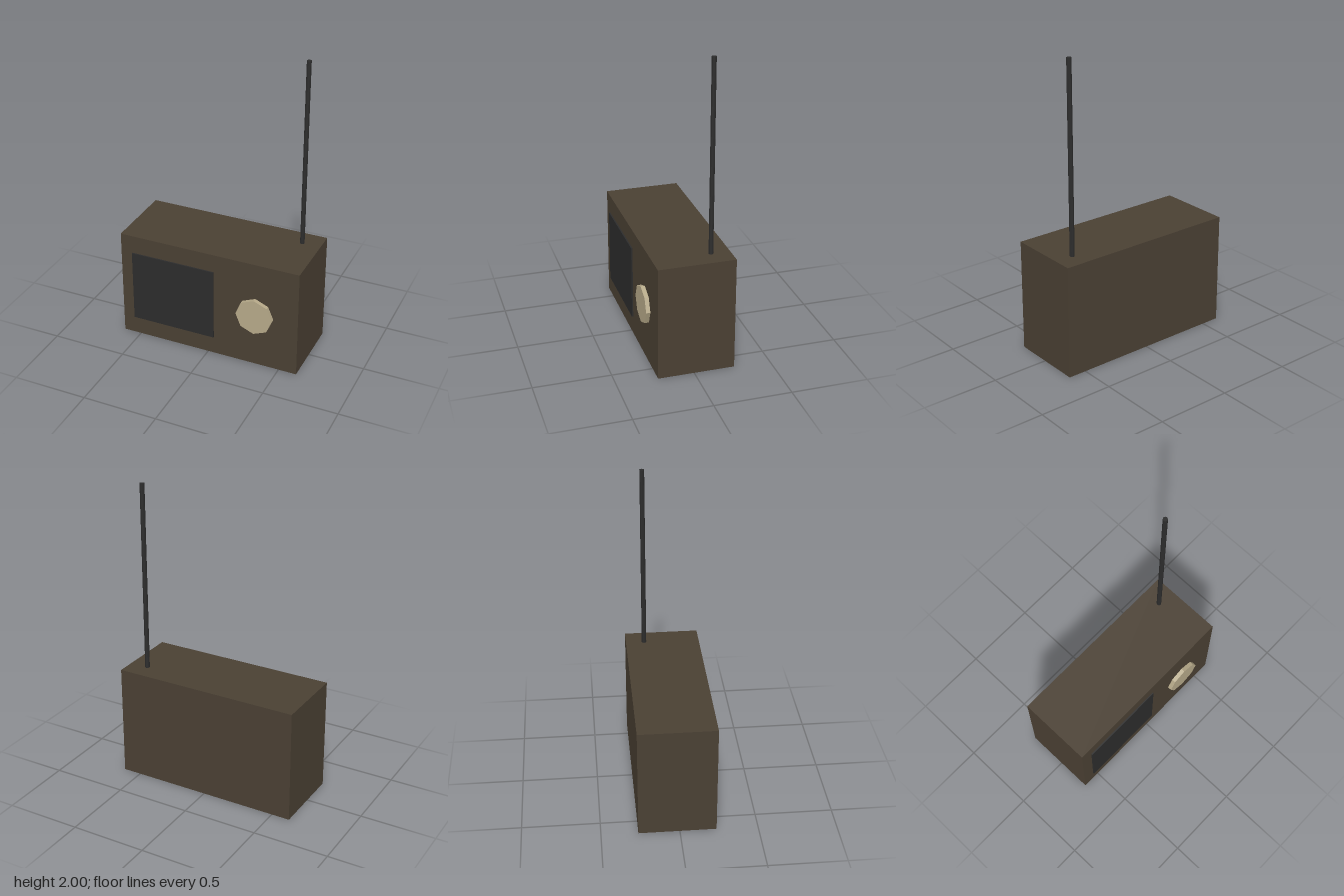
import * as THREE from 'three';

export function createModel() {
  const radio = new THREE.Group();
  radio.name = 'radio';

  const material = (name, color) => {
    const m = new THREE.MeshStandardMaterial({ color, flatShading: true });
    m.name = name;
    return m;
  };
  const casing = material('brown casing', 0x4a4033);
  const charcoal = material('charcoal', 0x2c2c2c);
  const cream = material('cream', 0xb5a888);

  const add = (name, geometry, mat, x, y, z) => {
    const mesh = new THREE.Mesh(geometry, mat);
    mesh.name = name;
    mesh.position.set(x, y, z);
    radio.add(mesh);
    return mesh;
  };

  // Plain box housing
  add('body', new THREE.BoxGeometry(1.244, 0.75, 0.498), casing, 0, 0.375, -0.0145);

  // Speaker panel, slightly proud of the front
  add('speakerPanel', new THREE.BoxGeometry(0.582, 0.5, 0.02), charcoal, -0.25, 0.375, 0.2335);

  // Eight-sided tuning dial, corners on the axes
  const dial = new THREE.CylinderGeometry(0.125, 0.125, 0.04, 8).rotateX(Math.PI / 2);
  add('tuningDial', dial, cream, 0.331, 0.375, 0.242);

  // Thin aerial rising from the rear corner
  add('antenna', new THREE.CylinderGeometry(0.0155, 0.0155, 1.25, 8), charcoal, 0.497, 1.375, -0.14);

  return radio;
}
